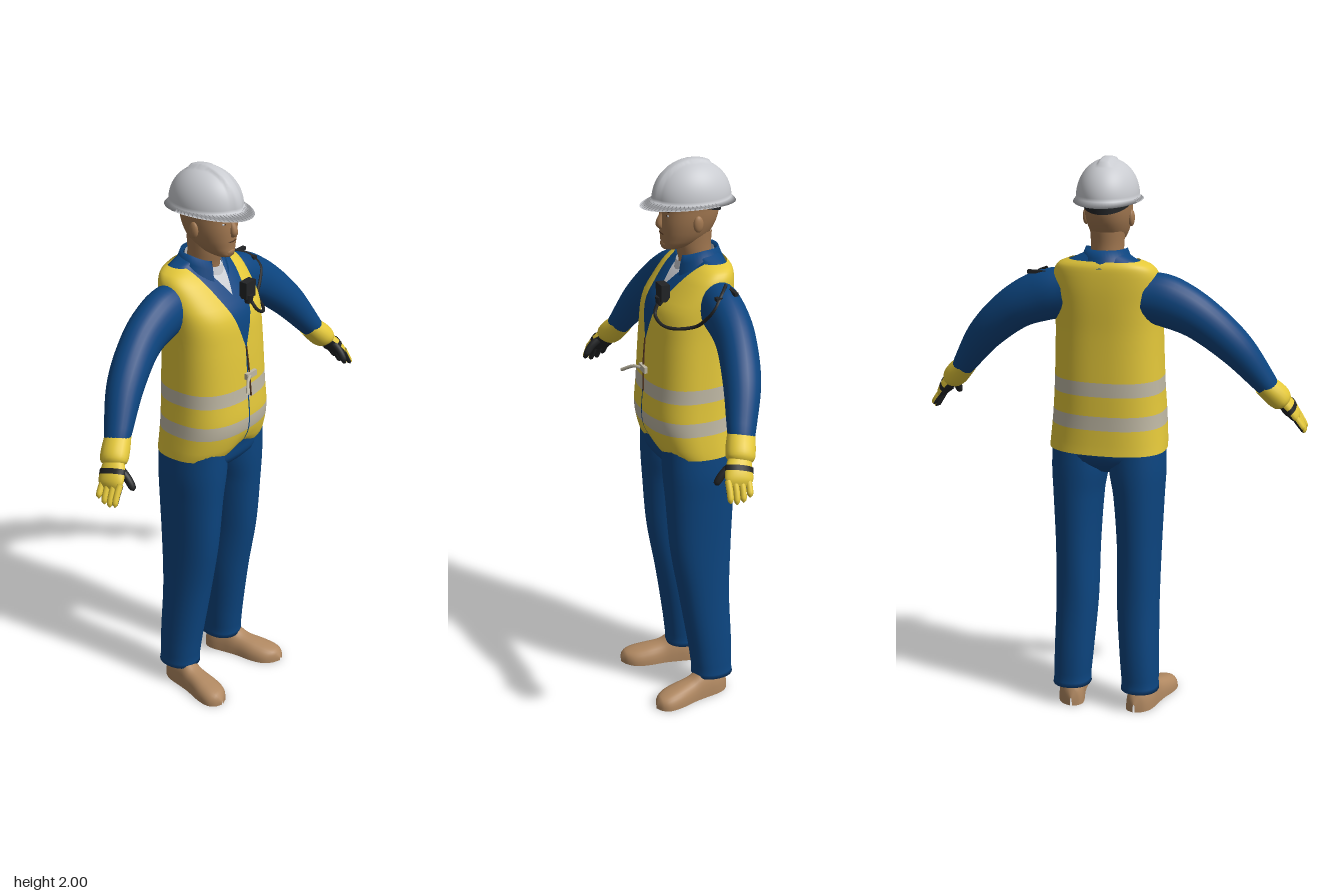
import * as THREE from 'three';

const paint = (name, color, side = THREE.FrontSide) => {
  const m = new THREE.MeshStandardMaterial({ color, side });
  m.name = name;
  return m;
};
const TAU = Math.PI * 2;
const V = (x, y, z) => new THREE.Vector3(x, y, z);

// Smooth interpolation of rows [t, a, b, ...] by their first number
function at(keys, t) {
  let i = 0;
  while (i < keys.length - 2 && t > keys[i + 1][0]) i++;
  const slope = (k, c) => {
    const a = keys[Math.max(k - 1, 0)], b = keys[Math.min(k + 1, keys.length - 1)];
    return (b[c] - a[c]) / (b[0] - a[0]);
  };
  const p = keys[i], q = keys[i + 1], h = q[0] - p[0];
  const s = THREE.MathUtils.clamp((t - p[0]) / h, 0, 1), s2 = s * s, s3 = s2 * s;
  return p.map((v, c) => c === 0 ? t :
    v * (2 * s3 - 3 * s2 + 1) + q[c] * (3 * s2 - 2 * s3) +
    h * (slope(i, c) * (s3 - 2 * s2 + s) + slope(i + 1, c) * (s3 - s2)));
}

// Grid surface through point(row value, column fraction); rowMat gives a material index per row
function surface(point, rows, n, closed, rowMat) {
  const pos = [], idx = [], geo = new THREE.BufferGeometry(), cols = closed ? n : n + 1;
  for (const r of rows) for (let j = 0; j < cols; j++) pos.push(...point(r, j / n));
  for (let i = 0; i < rows.length - 1; i++) {
    for (let j = 0; j < n; j++) {
      const a = i * cols + j, b = i * cols + (j + 1) % cols;
      idx.push(a, b, a + cols, b, b + cols, a + cols);
    }
    if (rowMat) geo.addGroup(i * n * 6, n * 6, rowMat((rows[i] + rows[i + 1]) / 2));
  }
  geo.setAttribute('position', new THREE.Float32BufferAttribute(pos, 3));
  geo.setIndex(idx);
  geo.computeVertexNormals();
  return geo;
}
const steps = (a, b, n) => Array.from({ length: n + 1 }, (_, i) => a + (b - a) * i / n);
const power = (v, e) => Math.sign(v) * Math.abs(v) ** e;

// Level rings: keys [y, x, z, half width, half depth]
function ringPoint(keys, y, a, p = 2, grow = 0) {
  const [, x, z, rx, rz] = at(keys, y);
  return [x + (rx + grow) * power(Math.sin(a), 2 / p), y, z + (rz + grow) * power(Math.cos(a), 2 / p)];
}
const rings = (keys, n = 28, p = 2, rows = 30) => surface((y, u) => ringPoint(keys, y, u * TAU, p),
  steps(keys[0][0], keys[keys.length - 1][0], rows), n, true);

// Limb along a path: keys [t, x, y, z, half thickness, half depth]
function limb(keys, n = 16, rows = 20, from = 0, to = TAU) {
  const mid = t => V(...at(keys, t).slice(1, 4));
  return surface((t, u) => {
    const k = at(keys, t), a = from + (to - from) * u;
    const T = mid(Math.min(t + 0.01, 1)).sub(mid(Math.max(t - 0.01, 0))).normalize();
    const W = V(0, 0, 1).addScaledVector(T, -T.z).normalize(), U = W.clone().cross(T);
    return mid(t).addScaledVector(U, k[4] * Math.cos(a)).addScaledVector(W, k[5] * Math.sin(a)).toArray();
  }, steps(0, 1, rows), n, to - from >= TAU);
}
function mirrored(geo) {
  const g = geo.clone().scale(-1, 1, 1), ix = g.index;
  for (let i = 0; i < ix.count; i += 3) {
    const a = ix.getX(i);
    ix.setX(i, ix.getX(i + 1));
    ix.setX(i + 1, a);
  }
  g.computeVertexNormals();
  return g;
}
const ball = (x, y, z, a, b, c) => new THREE.SphereGeometry(1, 16, 12).scale(a, b, c).translate(x, y, z);
const box = (x, y, z, a, b, c) => new THREE.BoxGeometry(a, b, c).translate(x, y, z);
const cord = (pts, r) => new THREE.TubeGeometry(new THREE.CatmullRomCurve3(pts.map(p => V(...p))), 40, r, 6);

export function createModel() {
  const root = new THREE.Group();
  const D = THREE.DoubleSide;
  const blue = paint('work blue', 0x0c4580, D), yellow = paint('safety yellow', 0xe4c83a, D);
  const grey = paint('reflective grey', 0xbfb8a4, D), skin = paint('skin', 0xa17750);
  const tan = paint('boot tan', 0xb08861), shell = paint('helmet grey', 0xc9cbd0, D);
  const dark = paint('black rubber', 0x222426, D), brown = paint('dark brown', 0x54361f);
  const add = (name, geo, mat) => {
    const m = new THREE.Mesh(geo, mat);
    m.name = name;
    root.add(m);
  };
  const pair = (name, geo, mat) => {
    add(name + 'Left', geo, mat);
    add(name + 'Right', mirrored(geo), mat);
  };

  // Vest, open in a V at the front, with two reflective bands
  const vest = [[0.975, 0, -0.028, 0.208, 0.142], [1.0, 0, -0.02, 0.207, 0.148], [1.09, 0, -0.008, 0.2, 0.157],
    [1.2, 0, -0.01, 0.193, 0.154], [1.4, 0, -0.015, 0.187, 0.146], [1.5, 0, -0.024, 0.188, 0.139],
    [1.56, 0, -0.045, 0.188, 0.118], [1.61, 0, -0.065, 0.181, 0.095], [1.64, 0, -0.08, 0.16, 0.075],
    [1.655, 0, -0.085, 0.125, 0.06]];
  const P = 2.5;
  const vestRows = [...steps(0.975, 1.065, 5), ...steps(1.075, 1.115, 3), ...steps(1.13, 1.185, 3),
    ...steps(1.197, 1.235, 3), ...steps(1.25, 1.6, 16), ...steps(1.61, 1.655, 6)];
  add('vest', surface((y, u) => {
    const gap = y < 1.38 ? 0.003 : 0.003 + 0.1 * (y - 1.38) / 0.275;
    const a0 = Math.asin(Math.min(1, (gap / at(vest, y)[3]) ** (P / 2)));
    const p = ringPoint(vest, y, a0 + (TAU - 2 * a0) * u, P);
    if (p[2] > 0) p[1] += 0.03 * Math.exp(-((p[0] / 0.06) ** 2)) * Math.max(0, 1 - (y - 0.975) / 0.08);
    return p;
  }, vestRows, 64, false, y => (y > 1.065 && y < 1.115) || (y > 1.185 && y < 1.235) ? 1 : 0), [yellow, grey]);

  // Shirt body beneath the vest, and the pale undershirt at the throat
  const shirt = [[0.89, 0, -0.02, 0.08, 0.06], [0.94, 0, -0.02, 0.19, 0.125],
    ...vest.slice(1).map(([y, x, z, a, b]) => [y, x, z, a - 0.01, b - 0.01]), [1.675, 0, -0.07, 0.07, 0.055]];
  add('shirt', rings(shirt, 40, P, 44), blue);
  add('undershirt', surface((y, u) => {
    const half = 0.055 * (y - 1.555) / 0.1, [, , z, rx, rz] = at(shirt, y), x = half * (2 * u - 1);
    return [x, y, z + 0.006 + rz * (1 - Math.min(1, Math.abs(x / rx)) ** P) ** (1 / P)];
  }, steps(1.555, 1.655, 8), 10, false), shell);
  add('undershirtCollar', surface((v, u) => {
    const a = u * TAU, r = 0.068 - 0.008 * v;
    return [r * Math.sin(a), 1.63 + 0.035 * v - 0.02 * Math.cos(a), -0.052 + (r + 0.006) * Math.cos(a)];
  }, [0, 0.5, 1], 28, true), shell);
  // Shirt collar: standing band folded outward, pointed at the front
  add('shirtCollar', surface((v, u) => {
    const a = 0.45 + (TAU - 0.9) * u, c = Math.cos(a), front = Math.max(0, c);
    const r = [0.098, 0.082, 0.072, 0.068][v], y = [1.632, 1.665, 1.692, 1.67][v];
    return [r * Math.sin(a), y - (0.012 + 0.05 * (v === 0)) * front * front - 0.012 * front, -0.058 + (r + 0.002) * c];
  }, [0, 1, 2, 3], 36, false), blue);

  // Trousers
  pair('trouserLeg', rings([[0.06, 0.127, -0.07, 0.02, 0.02], [0.065, 0.127, -0.07, 0.062, 0.068],
    [0.1, 0.127, -0.068, 0.066, 0.073], [0.2, 0.122, -0.062, 0.07, 0.08], [0.4, 0.113, -0.043, 0.075, 0.093],
    [0.6, 0.113, -0.028, 0.077, 0.113], [0.8, 0.11, -0.024, 0.088, 0.125], [0.9, 0.104, -0.022, 0.099, 0.13],
    [1.0, 0.1, -0.02, 0.1, 0.13]], 28, 2.2, 60), blue);

  // Boots, toes turned out: rows [t, half width, height]
  const boot = [[0, 0.004, 0.03], [0.04, 0.03, 0.07], [0.15, 0.046, 0.095], [0.35, 0.047, 0.1], [0.5, 0.048, 0.075],
    [0.72, 0.056, 0.06], [0.88, 0.05, 0.048], [0.97, 0.026, 0.034], [1, 0.003, 0.012]];
  pair('boot', surface((t, u) => {
    const [, w, h] = at(boot, t), a = u * TAU;
    return [0.118 + 0.062 * t - w * power(Math.sin(a), 0.8), h * Math.max(0, power(Math.cos(a), 0.8)), -0.13 + 0.303 * t];
  }, steps(0, 1, 32), 28, true), tan);

  // Sleeves
  pair('sleeve', limb([[0, 0.14, 1.527, -0.065, 0.088, 0.072], [0.25, 0.22, 1.513, -0.065, 0.09, 0.071],
    [0.5, 0.33, 1.46, -0.058, 0.077, 0.067], [0.75, 0.45, 1.355, -0.028, 0.063, 0.063],
    [0.96, 0.548, 1.225, 0.017, 0.041, 0.047], [1, 0.56, 1.208, 0.022, 0.036, 0.042]], 24, 30), blue);

  // Gloves: flared cuff, yellow back, black palm, fingers and thumb
  const back = [-Math.PI * 0.55, Math.PI * 0.55], palm = [Math.PI * 0.55, Math.PI * 1.45];
  pair('gloveCuff', limb([[0, 0.54, 1.225, 0.014, 0.038, 0.046], [0.6, 0.582, 1.183, 0.035, 0.043, 0.05],
    [0.9, 0.604, 1.16, 0.045, 0.036, 0.046], [1, 0.61, 1.152, 0.048, 0.02, 0.03]], 20, 14), yellow);
  const hand = [[0, 0.592, 1.172, 0.04, 0.026, 0.034], [0.4, 0.622, 1.14, 0.057, 0.025, 0.045],
    [0.8, 0.646, 1.108, 0.068, 0.019, 0.047], [1, 0.656, 1.092, 0.072, 0.006, 0.03]];
  pair('gloveBack', limb(hand, 14, 14, ...back), yellow);
  pair('glovePalm', limb(hand, 12, 14, ...palm), dark);
  pair('knuckleBand', limb([[0, 0.62, 1.143, 0.056, 0.028, 0.048], [1, 0.63, 1.129, 0.061, 0.026, 0.049]], 20, 2), dark);
  for (let i = 0; i < 4; i++) {
    const z = 0.037 + 0.023 * i, dip = [0.018, 0.004, 0, 0.008][i];
    const finger = [[0, 0.643, 1.113, z, 0.012, 0.011], [0.5, 0.664, 1.075 + dip / 2, z + 0.002, 0.0115, 0.011],
      [0.9, 0.677, 1.046 + dip, z + 0.005, 0.009, 0.009], [1, 0.679, 1.038 + dip, z + 0.006, 0.001, 0.001]];
    pair('fingerBack' + (i + 1), limb(finger, 8, 10, ...back), yellow);
    pair('fingerPalm' + (i + 1), limb(finger, 8, 10, ...palm), dark);
  }
  pair('thumb', limb([[0, 0.61, 1.15, 0.075, 0.016, 0.016], [0.5, 0.609, 1.122, 0.11, 0.014, 0.014],
    [0.9, 0.608, 1.092, 0.131, 0.011, 0.011], [1, 0.608, 1.085, 0.134, 0.001, 0.001]], 10, 12), dark);

  // Neck and head
  add('neck', rings([[1.58, 0, -0.06, 0.062, 0.058], [1.65, 0, -0.052, 0.056, 0.058], [1.7, 0, -0.045, 0.057, 0.062],
    [1.75, 0, -0.045, 0.06, 0.065]]), skin);
  add('head', rings([[1.688, 0, 0.03, 0.004, 0.006], [1.694, 0, 0.03, 0.026, 0.036], [1.71, 0, 0.008, 0.046, 0.063],
    [1.73, 0, -0.008, 0.059, 0.08], [1.755, 0, -0.017, 0.069, 0.091], [1.79, 0, -0.025, 0.077, 0.1],
    [1.83, 0, -0.03, 0.08, 0.103], [1.88, 0, -0.03, 0.078, 0.1], [1.93, 0, -0.03, 0.03, 0.04]], 32, 2.2, 44), skin);
  add('nose', limb([[0, 0, 1.825, 0.066, 0.008, 0.007], [0.7, 0, 1.782, 0.079, 0.014, 0.013],
    [1, 0, 1.766, 0.07, 0.008, 0.004]], 14, 12), skin);
  add('chin', ball(0, 1.712, 0.058, 0.024, 0.016, 0.016), skin);
  add('mouth', ball(0, 1.75, 0.071, 0.021, 0.0035, 0.004), brown);
  pair('ear', ball(0.08, 1.79, -0.03, 0.011, 0.029, 0.018), skin);
  pair('eye', ball(0.031, 1.818, 0.062, 0.012, 0.005, 0.004), shell);
  pair('iris', ball(0.031, 1.818, 0.0645, 0.005, 0.005, 0.003), brown);
  pair('brow', ball(0.033, 1.834, 0.062, 0.018, 0.004, 0.004), brown);

  // Hard hat: brim underside, lip, and dome with a raised centre ridge
  add('helmet', surface((v, u) => {
    const a = u * TAU, s = Math.sin(a), c = Math.cos(a);
    if (v <= 1) {
      const rx = [0.088, 0.117][v], rz = c > 0 ? [0.115, 0.185][v] : [0.12, 0.155][v];
      return [rx * s, (v ? 1.852 : 1.862) - 0.007 * c * c, -0.04 + rz * c];
    }
    const f = (v - 2) * Math.PI / 2, k = Math.cos(f), x = 0.107 * k * s;
    const ridge = 0.007 * THREE.MathUtils.smoothstep(0.026 - Math.abs(x), 0, 0.01) * (c > -0.3 || k < 0.5 ? 1 : 0);
    return [x, 1.864 + 0.128 * Math.sin(f) + ridge * Math.sin(f), -0.04 + (0.138 * k + ridge * k) * c];
  }, [0, 1, ...steps(2, 3, 18)], 64, true), shell);
  add('helmetLining', surface((v, u) => {
    const a = u * TAU;
    return [0.1 * v * Math.sin(a), 1.859, -0.04 + 0.13 * v * Math.cos(a)];
  }, [1, 0.02], 32, true), dark);
  add('headBand', surface((v, u) => {
    const a = Math.PI * (0.52 + 0.96 * u), c = Math.cos(a);
    return [0.087 * Math.sin(a), v ? 1.862 : 1.85 + 0.035 * c, -0.032 + 0.11 * c];
  }, [0, 1], 28, false), dark);

  // Radio microphone with its coiled lead and shoulder clips
  add('radio', box(0.06, 1.562, 0.092, 0.052, 0.06, 0.03), dark);
  add('radioGrip', new THREE.CylinderGeometry(0.018, 0.014, 0.03, 12).translate(0.055, 1.53, 0.1), dark);
  add('radioLead', cord([[0.055, 1.53, 0.105], [0.07, 1.49, 0.125], [0.115, 1.465, 0.118], [0.155, 1.46, 0.088],
    [0.2, 1.475, 0.03], [0.24, 1.51, 0.012], [0.268, 1.55, -0.008], [0.25, 1.59, -0.04], [0.21, 1.612, -0.075]], 0.006), dark);
  add('shoulderClipBack', box(0.24, 1.597, -0.085, 0.07, 0.012, 0.014), dark);
  add('shoulderClipFront', box(0.252, 1.582, -0.03, 0.02, 0.012, 0.022), dark);

  // Vest fastening
  add('fastenerClip', box(0.01, 1.272, 0.146, 0.055, 0.022, 0.012), grey);
  add('fastenerStrap', cord([[0, 1.27, 0.15], [-0.03, 1.268, 0.165], [-0.072, 1.243, 0.195]], 0.006), grey);
  add('fastenerCord', cord([[0, 1.38, 0.134], [0.004, 1.3, 0.142], [0.012, 1.19, 0.147]], 0.003), brown);
  return root;
}
